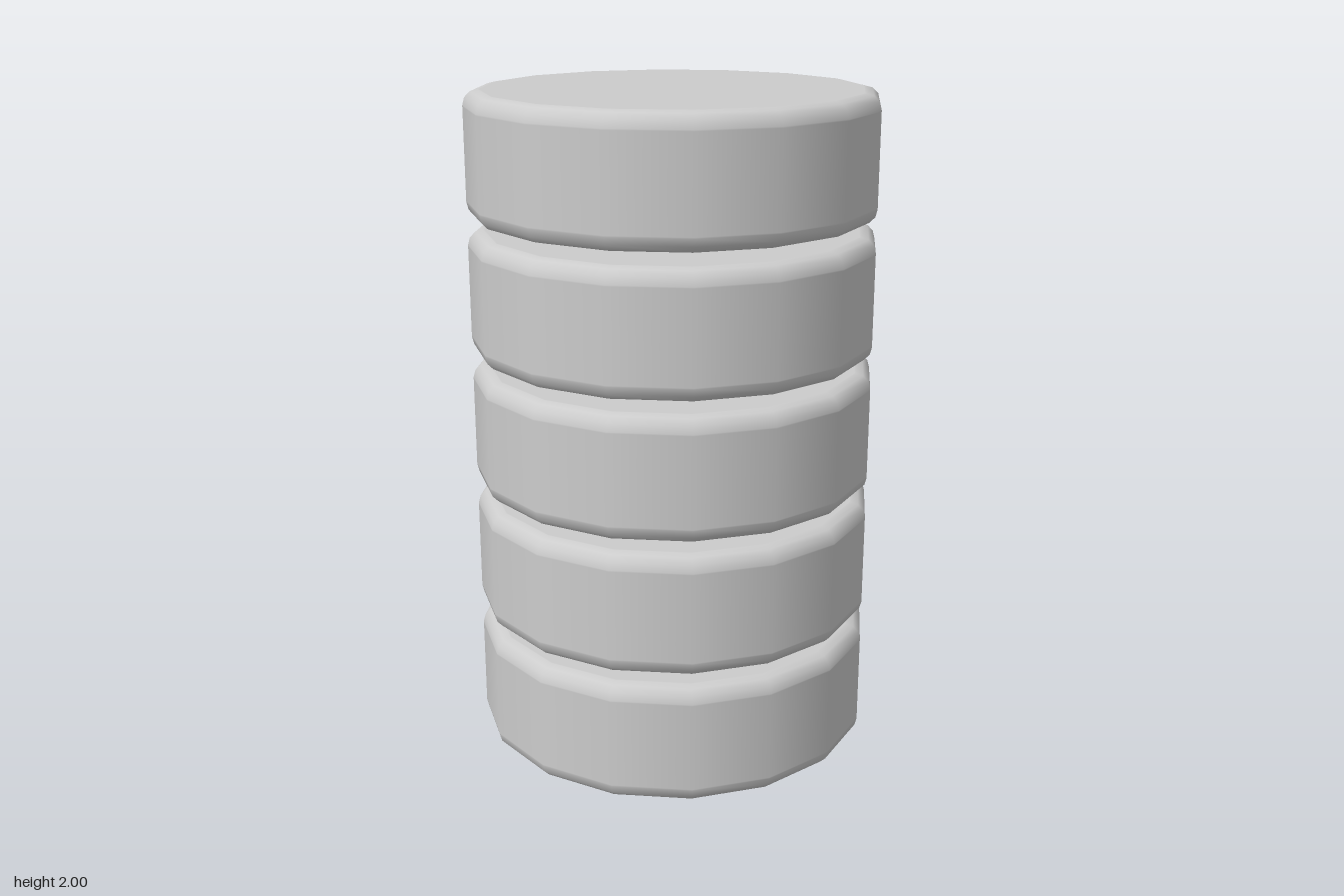
import * as THREE from 'three';

const COUNT = 5;
const SIDES = 16;
const RADIUS = 0.61;
const HEIGHT = 0.37;
const BEVEL = 0.045;
const STEP = (2 - HEIGHT) / (COUNT - 1);

// Disc outline from bottom centre to top centre, with rounded rims
function discProfile() {
  const inner = RADIUS - BEVEL;
  const support = 0.004; // tight extra points keep the caps and wall shading flat
  const points = [new THREE.Vector2(0, 0), new THREE.Vector2(inner - support, 0)];
  const addRim = (centreY, start) => {
    for (let i = 0; i <= 3; i++) {
      const a = start + (i / 3) * Math.PI / 2;
      points.push(new THREE.Vector2(inner + BEVEL * Math.cos(a), centreY + BEVEL * Math.sin(a)));
    }
  };
  addRim(BEVEL, -Math.PI / 2);
  points.push(new THREE.Vector2(RADIUS, BEVEL + support));
  points.push(new THREE.Vector2(RADIUS, HEIGHT - BEVEL - support));
  addRim(HEIGHT - BEVEL, 0);
  points.push(new THREE.Vector2(inner - support, HEIGHT), new THREE.Vector2(0, HEIGHT));
  return points;
}

export function createModel() {
  const group = new THREE.Group();
  group.name = 'discStack';

  const grey = new THREE.MeshStandardMaterial({ color: 0xcccccc });
  grey.name = 'light grey';

  // Five separate discs with narrow gaps between them
  const geometry = new THREE.LatheGeometry(discProfile(), SIDES);
  for (let i = 0; i < COUNT; i++) {
    const disc = new THREE.Mesh(geometry, grey);
    disc.name = `disc${i + 1}`;
    disc.position.y = i * STEP;
    group.add(disc);
  }
  return group;
}
